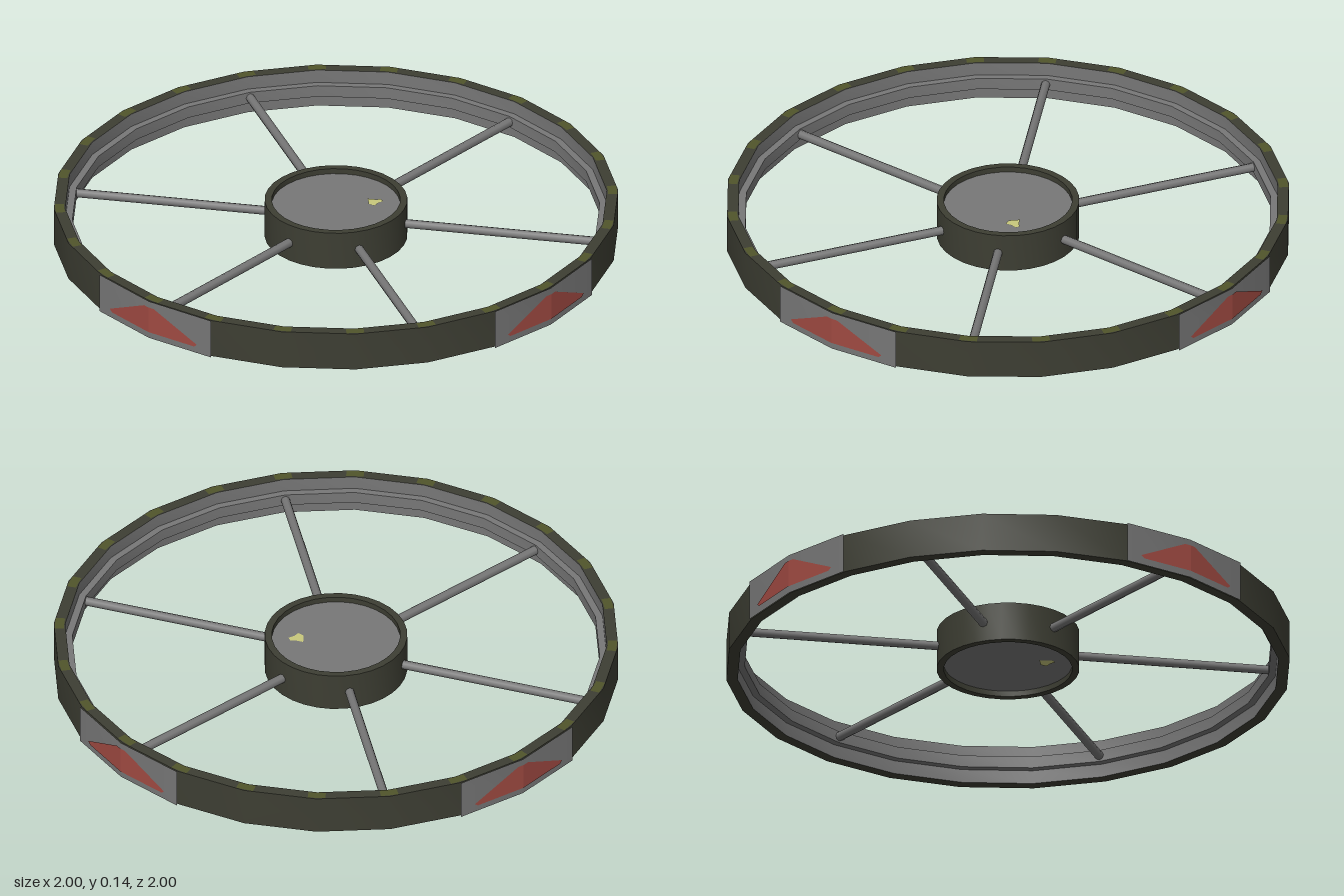
import * as THREE from 'three';
import { toCreasedNormals } from 'three/addons/utils/BufferGeometryUtils.js';

const paint = (name, color) => Object.assign(new THREE.MeshStandardMaterial({ color }), { name });
const TAU = Math.PI * 2;

export function createModel() {
  const darkMetal = paint('dark metal', 0x3d3e33);
  const grey = paint('grey metal', 0x777777);
  const red = paint('red marking', 0xa04a42);
  const olive = paint('olive marking', 0x51552b);
  const yellow = paint('pale yellow', 0xc8c87c);

  const model = new THREE.Group();
  model.name = 'spokedRing';
  const add = (name, geometry, material, parent = model) => {
    const mesh = new THREE.Mesh(geometry, material);
    mesh.name = name;
    parent.add(mesh);
    return mesh;
  };
  // Revolved profile of [radius, height] pairs with crisp edges
  const turn = (profile, segments, start = 0, length = TAU) => toCreasedNormals(
    new THREE.LatheGeometry(profile.map(([r, y]) => new THREE.Vector2(r, y)), segments, start, length), 0.5);

  const BOTTOM = 0.002, TOP = 0.143, MID = 0.0725;

  // Outer ring: dark shell with a grey, ridged inner wall
  add('ringShell', turn([[0.95, BOTTOM], [0.99, BOTTOM], [0.99, TOP], [0.95, TOP]], 24), darkMetal);
  add('ringInnerWall', turn([[0.95, TOP], [0.95, 0.094], [0.925, 0.094], [0.925, 0.051],
    [0.95, 0.051], [0.95, BOTTOM]], 24), grey);

  // Olive marks on the top of each joint
  for (let i = 0; i < 24; i++) {
    add('jointMark', turn([[0.985, TOP + 0.001], [0.953, TOP + 0.001]], 2,
      i * TAU / 24 - 0.032, 0.064), olive);
  }

  // Four folded panels with red triangles
  const half = [[0, 0.024], [0.19, 0.024], [0.202, 0.034], [0.022, 0.122], [0, 0.122]];
  for (let i = 0; i < 4; i++) {
    const side = new THREE.Group();
    side.name = 'markedPanel';
    side.rotation.y = i * Math.PI / 2;
    model.add(side);
    add('panel', turn([[0.997, 0], [0.997, 0.145]], 2, -TAU / 24, TAU / 12), grey, side);
    for (const s of [1, -1]) {
      const shape = new THREE.Shape(half.map(([x, y]) => new THREE.Vector2(s * x, y)));
      const geometry = new THREE.ShapeGeometry(shape);
      const p = geometry.attributes.position;
      for (let k = 0; k < p.count; k++) p.setZ(k, 1 - Math.abs(p.getX(k)) * Math.tan(TAU / 48));
      geometry.computeVertexNormals();
      add('redTriangleHalf', geometry, red, side);
    }
  }

  // Hub: dark drum with raised lips around recessed discs
  const lip = 0.02;
  add('hubDrum', turn([[0.225, BOTTOM + lip], [0.225, BOTTOM], [0.25, BOTTOM], [0.25, TOP],
    [0.225, TOP], [0.225, TOP - lip]], 32), darkMetal);
  for (const s of [1, -1]) {
    const face = new THREE.Group();
    face.name = s > 0 ? 'hubTop' : 'hubBottom';
    face.position.y = MID;
    face.rotation.x = -s * Math.PI / 2;
    model.add(face);
    add('hubDisc', new THREE.CircleGeometry(0.226, 32), grey, face).position.z = TOP - lip - MID;
    const spot = new THREE.Shape([[0.06, 0.1], [0.088, 0.073], [0.112, 0.078], [0.108, 0.1],
      [0.113, 0.122], [0.097, 0.128], [0.085, 0.115]].map(([x, y]) => new THREE.Vector2(x, y)));
    add('hubSpot', new THREE.ShapeGeometry(spot), yellow, face).position.z = TOP - lip - MID + 0.003;
  }

  // Six spokes
  const spoke = new THREE.CylinderGeometry(0.016, 0.016, 0.69, 8);
  spoke.rotateX(Math.PI / 2).translate(0, MID, 0.585);
  for (let i = 0; i < 6; i++) add('spoke', spoke, grey).rotation.y = i * TAU / 6;

  return model;
}
